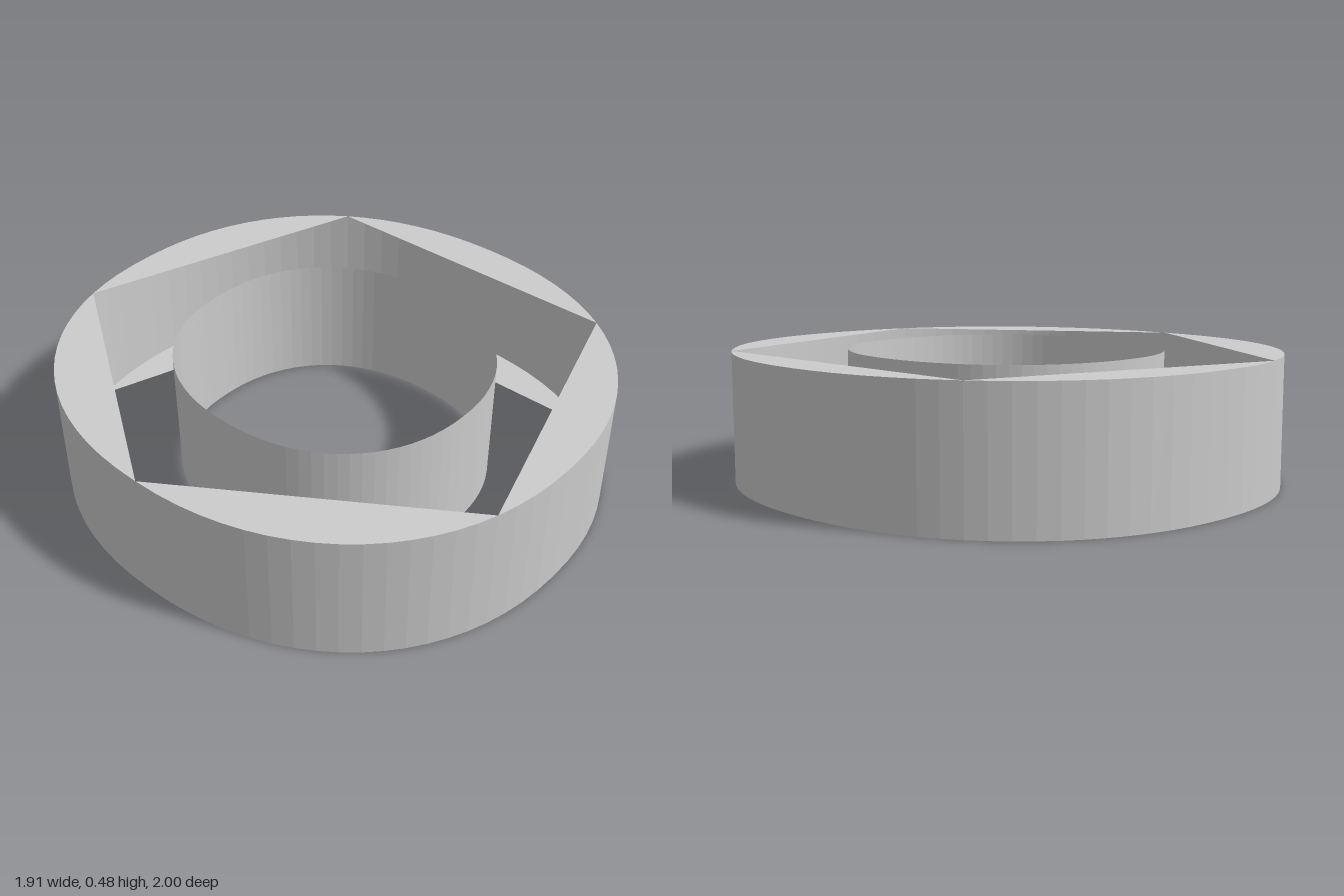
import * as THREE from 'three';

const HALF_X = 0.953, HALF_Z = 1, HEIGHT = 0.48;
const POWER = 2 / 2.18; // slightly squared ellipse
const SEGMENTS = 80, SIDES = 5;

const soft = (v) => Math.sign(v) * Math.abs(v) ** POWER;

export function createModel() {
  const model = new THREE.Group();
  const material = new THREE.MeshStandardMaterial({
    color: 0xcccccc, flatShading: true, side: THREE.DoubleSide,
  });

  const add = (name, geometry, y) => {
    const mesh = new THREE.Mesh(geometry, material);
    mesh.name = name;
    mesh.position.y = y;
    model.add(mesh);
  };

  // Open tube whose round section is bent into the soft ellipse
  const wall = (scale) => {
    const geometry = new THREE.CylinderGeometry(1, 1, HEIGHT, SEGMENTS, 1, true);
    const p = geometry.attributes.position;
    for (let i = 0; i < p.count; i++) {
      p.setX(i, soft(p.getX(i)) * HALF_X * scale);
      p.setZ(i, soft(p.getZ(i)) * HALF_Z * scale);
    }
    geometry.computeVertexNormals();
    return geometry;
  };

  add('outerWall', wall(1), HEIGHT / 2);
  add('innerTube', wall(0.58), HEIGHT / 2);

  // Flat rims: five segments between the outline and a pentagonal opening
  const steps = SEGMENTS / SIDES;
  const segments = [];
  for (let side = 0; side < SIDES; side++) {
    const points = [];
    for (let j = 0; j <= steps; j++) {
      const t = Math.PI + ((side * steps + j) / SEGMENTS) * Math.PI * 2;
      points.push(new THREE.Vector2(soft(Math.cos(t)) * HALF_X, soft(Math.sin(t)) * HALF_Z));
    }
    segments.push(new THREE.Shape(points));
  }
  add('topRim', new THREE.ShapeGeometry(segments).rotateX(-Math.PI / 2), HEIGHT);
  add('bottomRim', new THREE.ShapeGeometry(segments).rotateX(Math.PI / 2), 0);

  return model;
}
